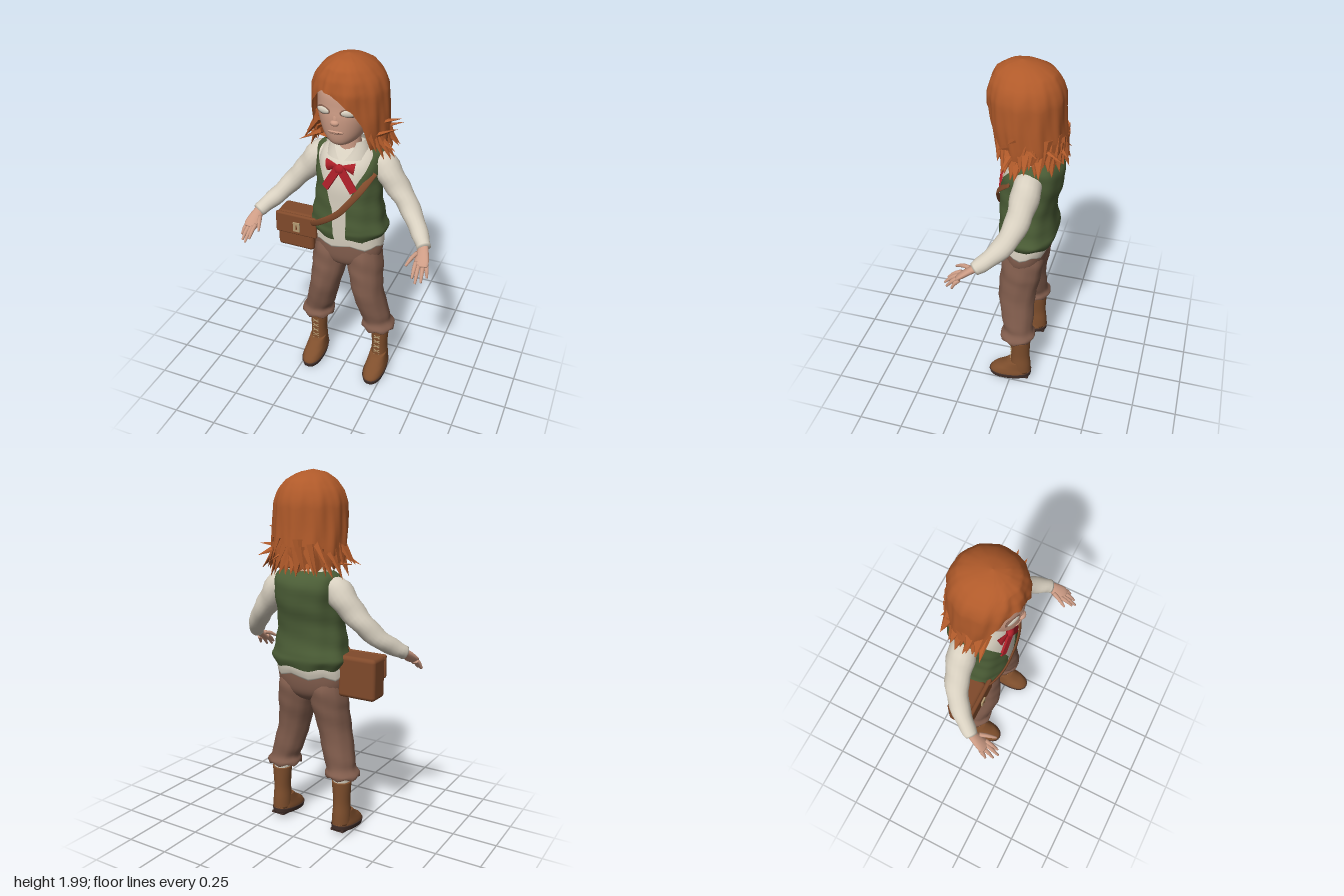
import * as THREE from 'three';
import { RoundedBoxGeometry } from 'three/addons/geometries/RoundedBoxGeometry.js';

const paint = (name, color, side = THREE.FrontSide) => {
  const m = new THREE.MeshStandardMaterial({ color, side });
  m.name = name;
  return m;
};
const D = THREE.DoubleSide;
const M = {
  hair: paint('ginger hair', 0xb05a2a, D), skin: paint('skin', 0xcd9c85),
  shirt: paint('cream linen', 0xd8d0c0, D), vest: paint('green wool', 0x4b5d36, D),
  trousers: paint('brown cloth', 0x805c4c), boot: paint('boot leather', 0x7f4f2d),
  sole: paint('dark sole', 0x43302a), bow: paint('red ribbon', 0xb0202a),
  bag: paint('bag leather', 0x804a2b), brass: paint('brass', 0xb39a72),
};

const V = (x, y, z) => new THREE.Vector3(x, y, z);

function mesh(parent, name, geo, mat, pos = [0, 0, 0], rot = [0, 0, 0], scale = [1, 1, 1]) {
  const m = new THREE.Mesh(geo, mat);
  m.name = name;
  m.position.set(...pos);
  m.rotation.set(...rot);
  m.scale.set(...scale);
  parent.add(m);
  return m;
}

// Linear lookup in a table with ascending keys
function lut(tab, k, col = 1) {
  let i = 0;
  while (i < tab.length - 2 && k > tab[i + 1][0]) i++;
  const t = THREE.MathUtils.clamp((k - tab[i][0]) / (tab[i + 1][0] - tab[i][0]), 0, 1);
  return tab[i][col] + (tab[i + 1][col] - tab[i][col]) * t;
}

// Smooth in-between rows of a table
function refine(rows, n = 4) {
  const out = [];
  const at = i => rows[THREE.MathUtils.clamp(i, 0, rows.length - 1)];
  for (let i = 0; i < rows.length - 1; i++) for (let k = 0; k < n; k++) {
    const t = k / n, t2 = t * t, t3 = t2 * t;
    out.push(at(i).map((b, c) => {
      const a = at(i - 1)[c], d = at(i + 1)[c], e = at(i + 2)[c];
      return 0.5 * (2 * b + (d - a) * t + (2 * a - 5 * b + 4 * d - e) * t2 + (3 * b - a - 3 * d + e) * t3);
    }));
  }
  out.push(rows[rows.length - 1]);
  return out;
}

// Surface through rings of points; closed rings may be capped
function surface(rings, closed = true, cap = true) {
  const n = rings[0].length, pts = rings.flat(), idx = [];
  const cols = closed ? n : n - 1;
  for (let i = 0; i < rings.length - 1; i++) for (let j = 0; j < cols; j++) {
    const a = i * n + j, b = i * n + (j + 1) % n;
    idx.push(a, b, b + n, a, b + n, a + n);
  }
  if (closed && cap) [0, rings.length - 1].forEach((r, top) => {
    const c = rings[r].reduce((s, p) => s.add(p), V(0, 0, 0)).divideScalar(n);
    const ci = pts.push(c) - 1;
    for (let j = 0; j < n; j++) {
      const a = r * n + j, b = r * n + (j + 1) % n;
      top ? idx.push(ci, a, b) : idx.push(ci, b, a);
    }
  });
  const g = new THREE.BufferGeometry().setFromPoints(pts);
  g.setIndex(idx);
  g.computeVertexNormals();
  return g;
}

// Upright form from rows of [y, centre x, half width, front z, back z]
function loft(rows, { seg = 28, pow = 1, open = null, wave = 0, hem = 0 } = {}) {
  const bend = v => Math.sign(v) * Math.abs(v) ** pow;
  const fine = refine(rows);
  return surface(fine.map(([y, cx, rx, zf, zb], i) => {
    const a0 = open ? lut(open, y) : 0, ring = [];
    for (let j = 0; j < (open ? seg + 1 : seg); j++) {
      const a = a0 + (2 * Math.PI - 2 * a0) * j / seg;
      const w = 1 + wave * Math.sin(5 * a + 23 * y) * Math.cos(31 * y - 3 * a);
      const drop = hem * Math.sin(7 * a) * Math.max(0, 1 - i / 5);
      ring.push(V(cx + rx * w * bend(Math.sin(a)), y + drop, (zf + zb) / 2 + (zf - zb) / 2 * w * bend(Math.cos(a))));
    }
    return ring;
  }), !open, !open);
}

// Limb along points of [x, y, z, side radius, front radius]
function limb(points, seg = 14, wave = 0) {
  const fine = refine(points), c = fine.map(p => V(p[0], p[1], p[2]));
  return surface(fine.map((p, i) => {
    const T = c[Math.min(i + 1, c.length - 1)].clone().sub(c[Math.max(i - 1, 0)]).normalize();
    const S = T.clone().cross(V(0, 0, 1)).normalize(), F = S.clone().cross(T);
    return Array.from({ length: seg }, (_, j) => {
      const a = 2 * Math.PI * j / seg, w = 1 + wave * Math.sin(2 * a + i * 1.3);
      return c[i].clone().addScaledVector(S, p[3] * w * Math.sin(a)).addScaledVector(F, (p[4] ?? p[3]) * w * Math.cos(a));
    });
  }));
}

function buildHair(parent) {
  let seed = 7;
  const rnd = () => (seed = (seed * 16807) % 2147483647) / 2147483647;
  const shape = [[1.5, .19, .1, -.215], [1.58, .2, .13, -.245], [1.7, .2, .15, -.235], [1.84, .192, .155, -.23],
    [1.9, .17, .14, -.21], [1.95, .125, .115, -.175], [1.985, .07, .06, -.1], [2, 0, -.015, -.015]];
  const line = [[-3.15, 1.51], [-1.25, 1.53], [-1.08, 1.65], [-.92, 1.75], [-.68, 1.82], [-.45, 1.85], [-.2, 1.84], [.05, 1.81],
    [.4, 1.755], [.65, 1.675], [.8, 1.54], [3.15, 1.51]];
  const at = (a, y, k = 1) => {
    const rx = lut(shape, y, 1), f = lut(shape, y, 2), b = lut(shape, y, 3);
    return V(.012 + rx * k * Math.sin(a), y, (f + b) / 2 + (f - b) / 2 * k * Math.cos(a));
  };
  // Swept cap whose lower edge follows the hairline
  const rings = [], seg = 108;
  for (let i = 20; i >= 0; i--) rings.push(Array.from({ length: seg }, (_, j) => {
    const a = -Math.PI + 2 * Math.PI * j / seg, u = i / 20;
    const jag = Math.abs(a) > 1.2 ? .02 * Math.sin(11 * a) : 0;
    const y = 2 - (2 - lut(line, a) - jag) * u ** 1.6;
    return at(a, y, 1 + .026 * u * Math.sin(11 * a + 5 * u) + .012 * u * Math.sin(23 * a - 4 * u));
  }));
  mesh(parent, 'hairCap', surface(rings, true, false), M.hair);
  // Broad flat locks, each a faceted spike growing outwards
  const lock = (x, y, z, dir, len, r) => {
    const g = new THREE.ConeGeometry(r, len, 5).toNonIndexed();
    g.scale(1, 1, .45);
    g.rotateY(Math.atan2(x, z + .05));
    g.translate(0, len / 2 - .04, 0);
    g.computeVertexNormals();
    mesh(parent, 'hairLock', g, M.hair, [x, y, z]).quaternion.setFromUnitVectors(V(0, 1, 0), dir.normalize());
  };
  for (let i = 0; i < 34; i++) {
    const a = .92 + (2 * Math.PI - 2.05) * (i + rnd() * .5) / 34;
    const p = at(a, 1.55 + rnd() * .08, .92), out = .2 + rnd() * .6;
    lock(p.x, p.y, p.z, V(Math.sin(a) * out, -.8, Math.cos(a) * out * .45), .13 + rnd() * .04, .05);
  }
  [[.2, 1.67, -.02, .09, .03, 0], [.2, 1.62, .02, .1, .05, .01], [.19, 1.58, .0, .09, -.05, .02], [.18, 1.61, -.1, .08, .01, -.05],
    [-.16, 1.56, .02, -.08, -.04, .02], [-.15, 1.53, -.05, -.09, .0, 0], [.06, 1.6, -.2, .04, -.04, -.06], [.15, 1.6, -.18, .03, -.02, -.06],
    [-.06, 1.56, -.19, -.04, -.06, -.05]]
    .forEach(([x, y, z, dx, dy, dz]) => lock(x, y, z, V(dx, dy, dz), .14, .036));
}

function buildHead(parent) {
  mesh(parent, 'head', loft([[1.557, 0, .04, .1, 0], [1.575, 0, .075, .122, -.08], [1.62, 0, .112, .135, -.15], [1.7, 0, .138, .143, -.18],
    [1.76, 0, .146, .14, -.2], [1.85, 0, .138, .13, -.2], [1.93, 0, .08, .06, -.14]], { seg: 36, pow: .95 }), M.skin);
  mesh(parent, 'neck', new THREE.CylinderGeometry(.058, .066, .2, 18), M.skin, [0, 1.53, -.055]);
  const ball = new THREE.SphereGeometry(1, 18, 12);
  mesh(parent, 'nose', ball, M.skin, [0, 1.692, .14], [0, 0, 0], [.024, .016, .019]);
  mesh(parent, 'noseBridge', ball, M.skin, [0, 1.715, .135], [-.15, 0, 0], [.014, .036, .011]);
  mesh(parent, 'lips', ball, M.skin, [0, 1.64, .13], [0, 0, 0], [.042, .012, .013]);
  mesh(parent, 'mouthLine', ball, M.trousers, [0, 1.641, .139], [0, 0, 0], [.037, .002, .005]);
  for (const s of [-1, 1]) {
    mesh(parent, 'eyeRim', ball, M.trousers, [s * .066, 1.746, .122], [0, s * .36, 0], [.046, .024, .009]);
    mesh(parent, 'eye', ball, M.shirt, [s * .066, 1.746, .124], [0, s * .36, 0], [.039, .019, .012]);
    mesh(parent, 'ear', ball, M.skin, [s * .142, 1.7, -.02], [0, 0, 0], [.016, .038, .026]);
  }
}

function buildTorso(parent) {
  mesh(parent, 'shirt', loft([[.922, 0, .203, .078, -.175], [.98, 0, .2, .083, -.19], [1.1, 0, .185, .088, -.185], [1.2, 0, .17, .09, -.185],
    [1.3, 0, .165, .09, -.21], [1.4, 0, .168, .068, -.215], [1.46, 0, .15, .03, -.19], [1.5, 0, .1, .0, -.14]], { pow: .88, hem: .012 }), M.shirt);
  mesh(parent, 'vest', loft([[.975, 0, .2, .085, -.2], [1.015, 0, .22, .102, -.216], [1.05, 0, .212, .1, -.21], [1.1, 0, .2, .1, -.2], [1.2, 0, .183, .101, -.2],
    [1.3, 0, .178, .102, -.224], [1.4, 0, .186, .083, -.234], [1.46, 0, .18, .04, -.212], [1.495, 0, .14, .0, -.17]],
  { seg: 60, pow: .88, wave: .03, hem: .008, open: [[1, .13], [1.18, .17], [1.31, .42], [1.45, .85], [1.5, 1.1]] }), M.vest);
  mesh(parent, 'collar', loft([[1.45, 0, .122, .06, -.16], [1.5, 0, .105, .035, -.14], [1.535, 0, .088, .02, -.125]],
    { open: [[1.45, .12], [1.535, .75]] }), M.shirt);
  // Neck bow
  const ball = new THREE.SphereGeometry(1, 14, 10);
  mesh(parent, 'bowKnot', ball, M.bow, [0, 1.41, .085], [0, 0, 0], [.028, .028, .02]);
  for (const s of [-1, 1]) {
    const loop = new THREE.ConeGeometry(.035, .08, 8);
    mesh(parent, 'bowLoop', loop, M.bow, [s * .037, 1.422, .075], [0, s * .25, s * 1.4], [1, 1, .5]);
    mesh(parent, 'bowTail', new THREE.BoxGeometry(.042, .14, .012), M.bow, [s * .045, 1.352, .09], [-.12, s * .25, s * .55]);
  }
}

function buildArm(parent, s) {
  const at = pts => pts.map(([x, ...r]) => [x * s, ...r]);
  mesh(parent, 'sleeve', limb(at([[.12, 1.42, -.085, .06], [.185, 1.385, -.085, .076], [.25, 1.305, -.075, .066, .07], [.32, 1.225, -.055, .057, .062],
    [.39, 1.145, -.005, .05, .054], [.45, 1.09, .065, .043], [.48, 1.062, .108, .036]].map(p => [...p.slice(0, 4), p[4] ?? p[3]])), 18, .045), M.shirt);
  mesh(parent, 'palm', limb(at([[.475, 1.068, .1, .026, .02], [.482, 1.045, .135, .034, .019], [.49, 1.015, .175, .04, .016], [.493, 1.0, .195, .034, .012]])), M.skin);
  const fingers = [[.463, 1.015, .18, .468, .965, .255], [.48, 1.005, .19, .489, .945, .268], [.502, 1.0, .188, .514, .945, .25],
    [.518, 1.005, .178, .535, .957, .215], [.455, 1.045, .14, .422, 1.01, .225]];
  fingers.forEach(([x, y, z, u, v, w]) => mesh(parent, 'finger',
    limb(at([[x, y, z, .012], [(x + u) / 2, (y + v) / 2 + .008, (z + w) / 2, .011], [u, v, w, .006]]), 8), M.skin));
}

function buildLeg(parent, s) {
  const rows = r => r.map(([y, x, ...q]) => [y, x * s, ...q]);
  mesh(parent, 'trouserLeg', loft(rows([[.352, .192, .098, .06, -.135], [.37, .192, .098, .06, -.138], [.4, .184, .08, .046, -.122], [.46, .167, .087, .06, -.122],
    [.6, .133, .088, .088, -.12], [.72, .113, .098, .084, -.14], [.78, .106, .102, .078, -.15], [.85, .103, .095, .07, -.155], [.9, .1, .085, .055, -.14]]),
  { wave: .035, hem: .008 }), M.trousers);
  mesh(parent, 'sock', loft(rows([[.29, .198, .046, -.006, -.105], [.38, .196, .05, .0, -.11]])), M.shirt);
  mesh(parent, 'bootShaft', loft(rows([[.07, .2, .052, .005, -.118], [.13, .2, .05, .004, -.116], [.2, .2, .046, 0, -.11], [.29, .199, .052, .0, -.113], [.325, .199, .054, .003, -.115]])), M.boot);
  // Foot tips down towards the toe
  const foot = new THREE.Group();
  foot.name = 'foot';
  foot.position.y = .018;
  foot.rotation.x = .14;
  parent.add(foot);
  mesh(foot, 'bootFoot', loft(rows([[.025, .2, .062, .13, -.125], [.045, .2, .062, .127, -.125], [.068, .2, .057, .1, -.122], [.088, .2, .053, .055, -.12], [.12, .2, .048, .005, -.114]]), { pow: .88 }), M.boot);
  mesh(foot, 'sole', loft(rows([[.008, .2, .061, .131, -.122], [.036, .2, .066, .135, -.128]]), { pow: .85 }), M.sole);
  mesh(foot, 'heel', new THREE.BoxGeometry(.08, .012, .065), M.sole, [s * .2, .005, -.08]);
  // Crossed laces
  for (let i = 0; i < 5; i++) for (const t of [-1, 1])
    mesh(parent, 'lace', new THREE.BoxGeometry(.04, .004, .005), M.brass, [s * .2, .13 + i * .036, .0], [0, 0, t * .5]);
}

function buildBag(parent) {
  mesh(parent, 'bagBody', new RoundedBoxGeometry(.22, .23, .13, 3, .022), M.bag, [-.292, .936, -.022]);
  mesh(parent, 'bagFlap', new RoundedBoxGeometry(.25, .13, .024, 3, .011), M.bag, [-.277, .987, .051]);
  mesh(parent, 'buckle', new THREE.BoxGeometry(.04, .056, .009), M.brass, [-.27, .978, .067]);
  mesh(parent, 'buckleSlot', new THREE.BoxGeometry(.008, .03, .009), M.bag, [-.27, .978, .068]);
  mesh(parent, 'strap', limb([[-.24, 1.02, .0, .018, .006], [-.18, 1.025, .06, .018, .006], [-.09, 1.085, .1, .018, .006], [0, 1.155, .109, .018, .006],
    [.065, 1.235, .106, .018, .006], [.12, 1.31, .082, .018, .006], [.165, 1.385, .012, .018, .006]]), M.bag);
}

export function createModel() {
  const root = new THREE.Group();
  root.name = 'child';
  const part = (name, build, ...args) => {
    const g = new THREE.Group();
    g.name = name;
    root.add(g);
    build(g, ...args);
  };
  part('headGroup', buildHead);
  part('hair', buildHair);
  part('torso', buildTorso);
  for (const s of [1, -1]) {
    part(s > 0 ? 'leftArm' : 'rightArm', buildArm, s);
    part(s > 0 ? 'leftLeg' : 'rightLeg', buildLeg, s);
  }
  mesh(root, 'hips', loft([[.765, 0, .04, .0, -.08], [.79, 0, .11, .05, -.125], [.83, 0, .18, .07, -.154], [.89, 0, .2, .074, -.166], [.96, 0, .195, .072, -.168]], { pow: .92 }), M.trousers);
  part('satchel', buildBag);
  return root;
}
